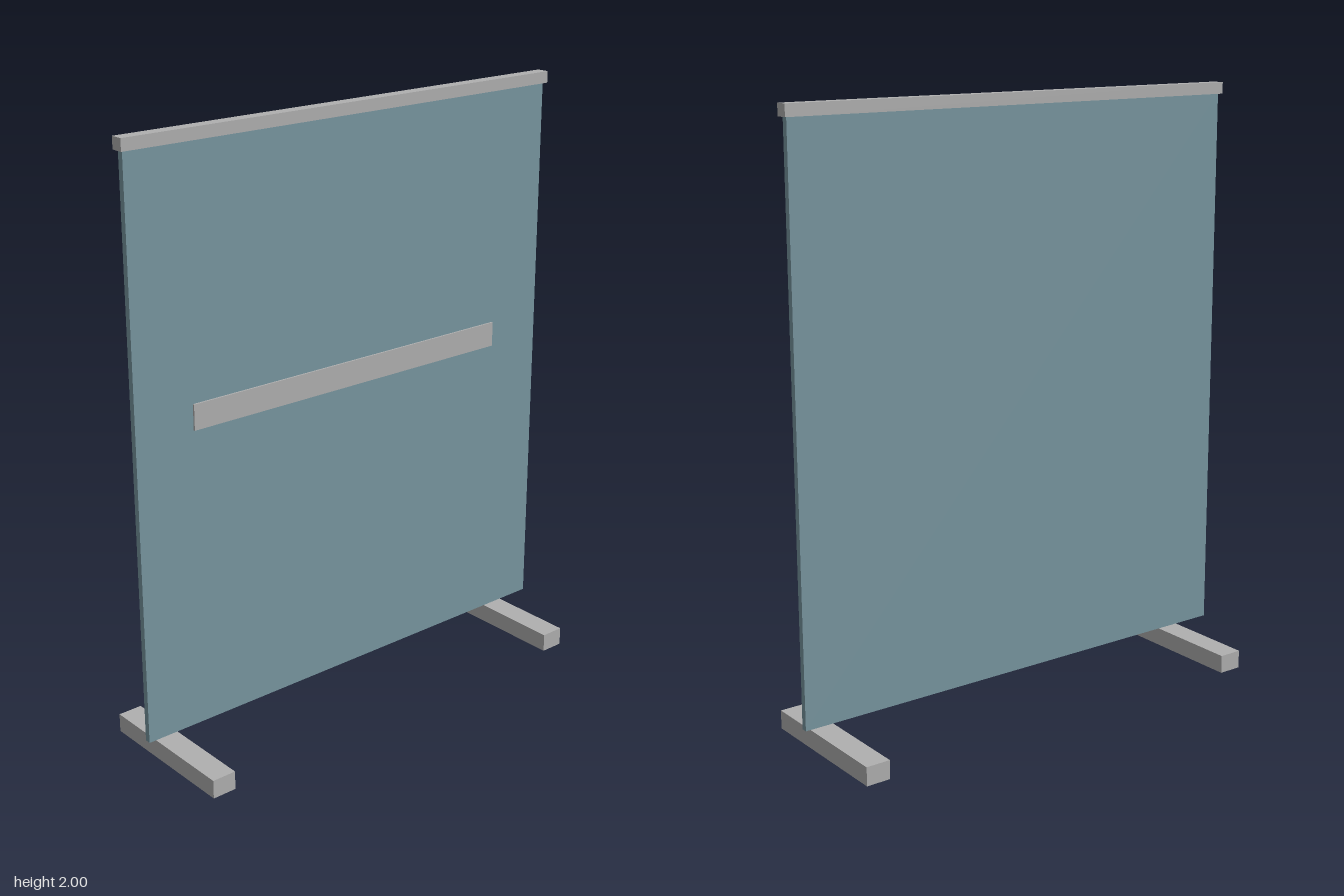
import * as THREE from 'three';

export function createModel() {
  const model = new THREE.Group();
  model.name = 'partitionScreen';

  const blue = new THREE.MeshStandardMaterial({ color: 0x7896a0 });
  blue.name = 'dusty blue';
  const grey = new THREE.MeshStandardMaterial({ color: 0xb0b0b0 });
  grey.name = 'light grey';

  // Box given by its size and the centre of its underside
  function addBox(name, material, [w, h, d], [x, y, z]) {
    const mesh = new THREE.Mesh(new THREE.BoxGeometry(w, h, d), material);
    mesh.name = name;
    mesh.position.set(x, y + h / 2, z);
    model.add(mesh);
  }

  // Upright panel, reaching up to the rail
  addBox('panel', blue, [1.65, 1.86, 0.02], [0, 0.104, 0]);

  // Rail capping the top edge
  addBox('topRail', grey, [1.67, 0.038, 0.042], [0, 1.962, 0]);

  // Thin strip on the front face
  addBox('frontStrip', grey, [1.238, 0.083, 0.007], [0, 1.093, 0.0125]);

  // Pair of feet, set just below the panel
  for (const side of [-1, 1]) {
    addBox(side > 0 ? 'leftFoot' : 'rightFoot', grey, [0.082, 0.062, 0.515], [side * 0.722, 0, 0]);
  }

  return model;
}
